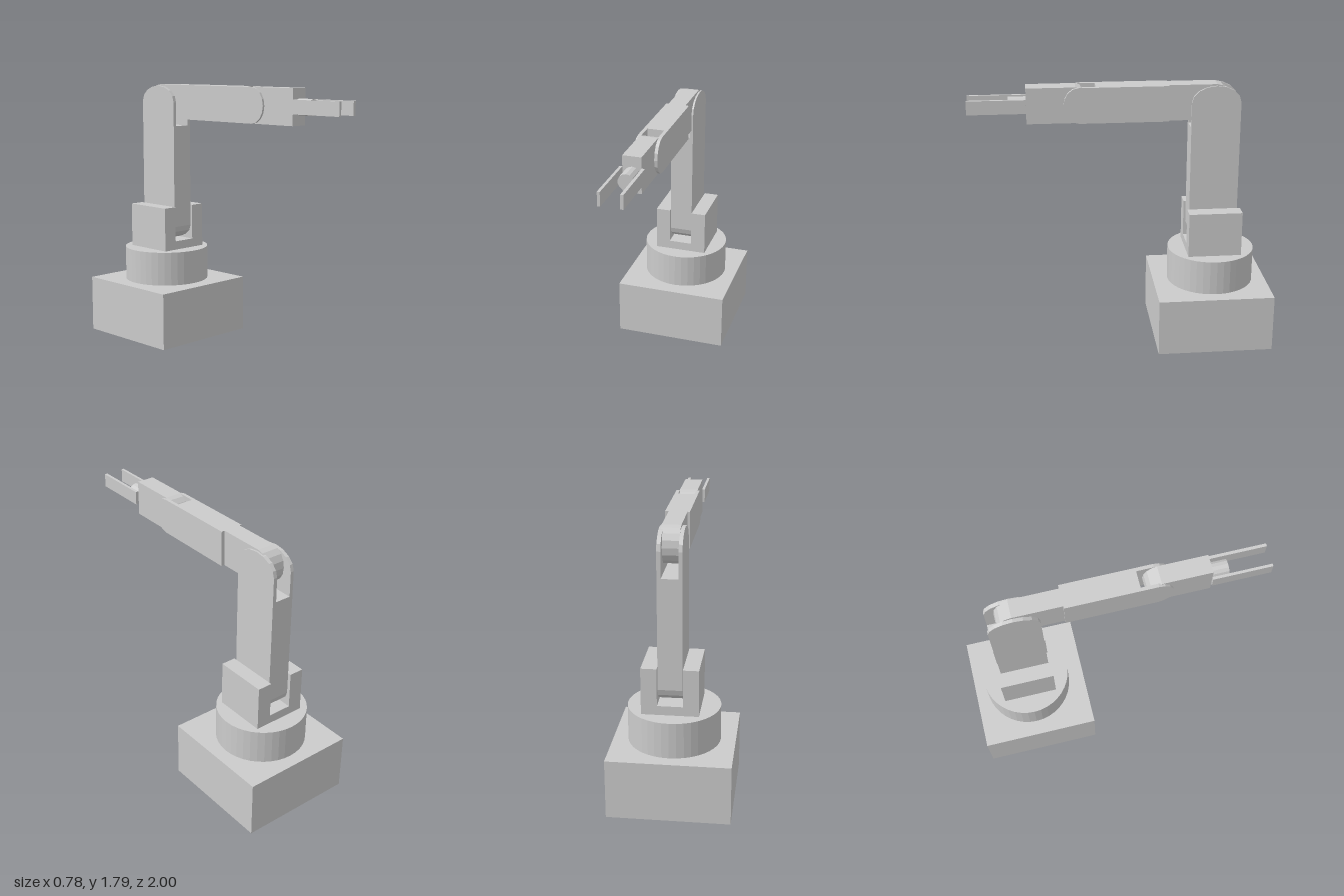
import * as THREE from 'three';

const material = new THREE.MeshStandardMaterial({ color: 0xcccccc, flatShading: true });

function addMesh(parent, name, geometry) {
  const mesh = new THREE.Mesh(geometry, material);
  mesh.name = name;
  parent.add(mesh);
  return mesh;
}

// Box given by its limits on each axis
function addBox(parent, name, [x0, x1], [y0, y1], [z0, z1]) {
  const g = new THREE.BoxGeometry(x1 - x0, y1 - y0, z1 - z0);
  g.translate((x0 + x1) / 2, (y0 + y1) / 2, (z0 + z1) / 2);
  return addMesh(parent, name, g);
}

// Side profile in (z, y): straight from "start" to "pivot" along a direction,
// then closed by a faceted half ellipse that bulges beyond the pivot
function addRoundedLink(parent, name, [x0, x1], { axis, centre, half, start, pivot, bulge }) {
  const points = [];
  const put = (along, across) =>
    points.push(axis === 'z' ? new THREE.Vector2(along, across) : new THREE.Vector2(across, along));
  put(start, centre - half);
  const sides = 8;
  for (let i = 0; i <= sides; i++) {
    const a = (i / sides) * Math.PI;
    put(pivot + bulge * Math.sin(a), centre - half * Math.cos(a));
  }
  put(start, centre + half);
  const g = new THREE.ExtrudeGeometry(new THREE.Shape(points), { depth: x1 - x0, bevelEnabled: false });
  g.rotateY(-Math.PI / 2);
  g.translate(x1, 0, 0);
  return addMesh(parent, name, g);
}

export function createModel() {
  const model = new THREE.Group();
  model.name = 'robotArm';

  // Base block and turntable
  addBox(model, 'base', [-0.39, 0.39], [0, 0.39], [-1, -0.22]);
  const turntable = new THREE.CylinderGeometry(0.296, 0.296, 0.235, 40);
  turntable.translate(0.003, 0.5075, -0.62);
  addMesh(model, 'turntable', turntable);

  // Shoulder bracket: U section extruded front to back
  const u = new THREE.Shape([
    [-0.17, 0.625], [0.19, 0.625], [0.19, 0.93], [0.09, 0.93],
    [0.09, 0.685], [-0.071, 0.685], [-0.071, 0.93], [-0.17, 0.93],
  ].map(([x, y]) => new THREE.Vector2(x, y)));
  const bracket = new THREE.ExtrudeGeometry(u, { depth: 0.36, bevelEnabled: false });
  bracket.translate(0, 0, -0.8);
  addMesh(model, 'shoulderBracket', bracket);

  // Upper arm: rounded foot and a fork at the elbow
  const upperArm = new THREE.Group();
  upperArm.name = 'upperArm';
  model.add(upperArm);
  const column = { axis: 'y', centre: -0.617, half: 0.163 };
  addRoundedLink(upperArm, 'upperArmBody', [-0.068, 0.087],
    { ...column, start: 1.5, pivot: 0.785, bulge: -0.1 });
  for (const x of [[-0.068, -0.045], [0.062, 0.087]]) {
    addRoundedLink(upperArm, 'elbowProng', x, { ...column, start: 1.5, pivot: 1.666, bulge: 0.112 });
  }

  // Forearm: narrow rounded tail, wide body and a fork at the wrist
  const forearm = new THREE.Group();
  forearm.name = 'forearm';
  model.add(forearm);
  const beam = { axis: 'z', centre: 1.67, half: 0.118 };
  addRoundedLink(forearm, 'forearmTail', [-0.043, 0.075],
    { ...beam, start: -0.305, pivot: -0.62, bulge: -0.1 });
  addBox(forearm, 'forearmBody', [-0.058, 0.098], [1.552, 1.788], [-0.305, 0.17]);
  for (const x of [[-0.058, -0.035], [0.075, 0.098]]) {
    addRoundedLink(forearm, 'wristProng', x, { ...beam, start: 0.17, pivot: 0.28, bulge: 0.1 });
  }

  // Hand, gripper shaft and two fingers
  const hand = new THREE.Group();
  hand.name = 'hand';
  model.add(hand);
  addRoundedLink(hand, 'handBody', [-0.043, 0.077],
    { ...beam, start: 0.62, pivot: 0.3, bulge: -0.09 });
  const shaft = new THREE.CylinderGeometry(0.053, 0.053, 0.115, 14);
  shaft.rotateX(Math.PI / 2);
  shaft.translate(0.02, 1.67, 0.6775);
  addMesh(hand, 'gripperShaft', shaft);
  for (const x of [[-0.06, -0.042], [0.078, 0.098]]) {
    addBox(hand, 'finger', x, [1.627, 1.718], [0.62, 1]);
  }

  // Orient every profile outward: clockwise shapes are already fixed by the extruder
  return model;
}
